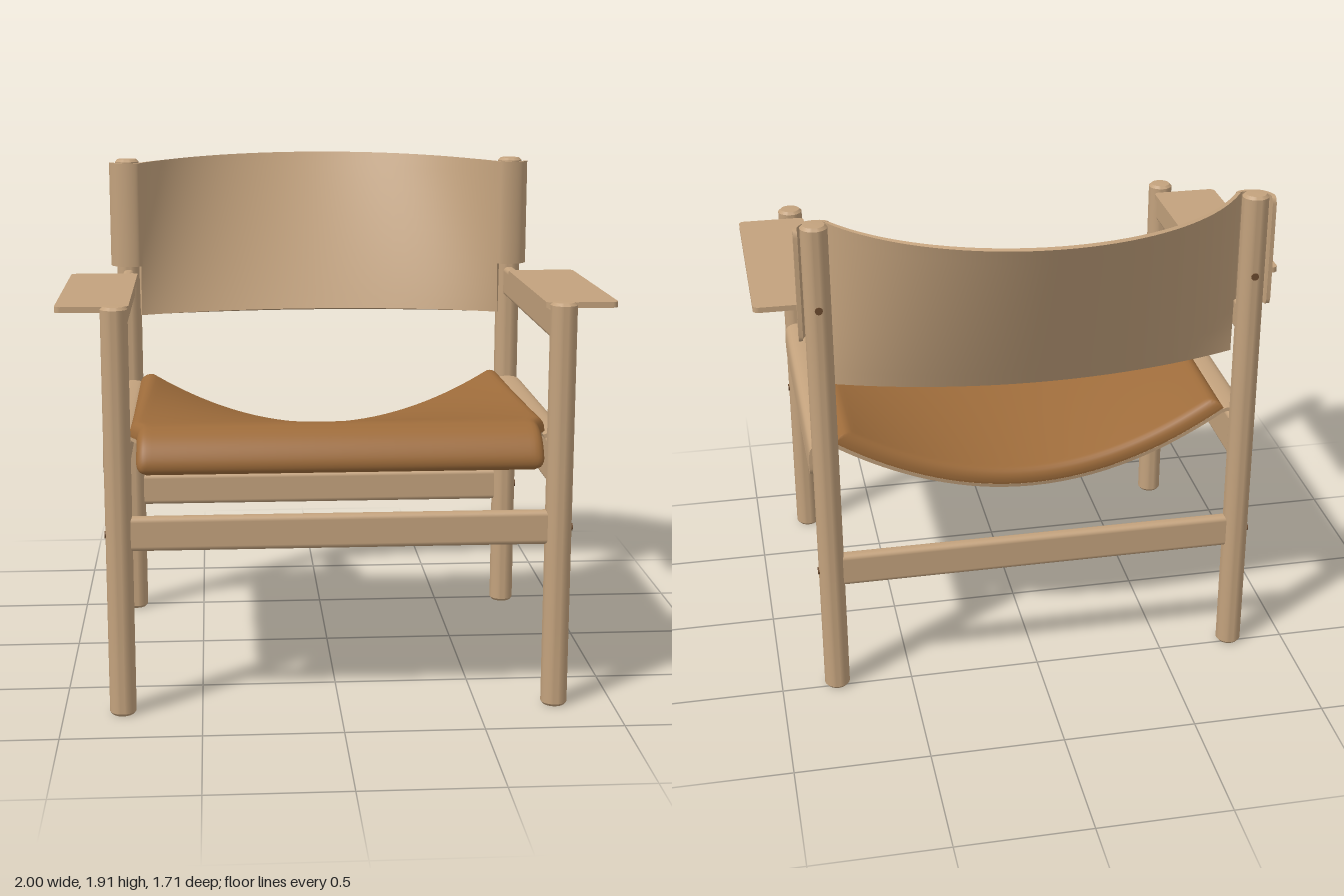
import * as THREE from 'three';
import { toCreasedNormals } from 'three/addons/utils/BufferGeometryUtils.js';
import { RoundedBoxGeometry } from 'three/addons/geometries/RoundedBoxGeometry.js';

const LEG_X = 0.787, FRONT_Z = 0.76, BACK_Z = -0.48, LEG_R = 0.048;

// Solid sheet: surface f(u, v) thickened along its normal from lo to hi(u, v)
function sheet(f, nu, nv, lo, hi) {
  const pos = [], idx = [], e = 1e-3;
  const point = (i, j, top) => {
    const u = i / nu, v = j / nv;
    const du = f(Math.min(u + e, 1), v).sub(f(Math.max(u - e, 0), v));
    const dv = f(u, Math.min(v + e, 1)).sub(f(u, Math.max(v - e, 0)));
    const n = du.cross(dv).normalize();
    return f(u, v).addScaledVector(n, top ? hi(u, v) : lo);
  };
  const add = (p) => { pos.push(p.x, p.y, p.z); return pos.length / 3 - 1; };
  for (const top of [true, false]) {
    const base = pos.length / 3;
    for (let j = 0; j <= nv; j++) for (let i = 0; i <= nu; i++) add(point(i, j, top));
    for (let j = 0; j < nv; j++) for (let i = 0; i < nu; i++) {
      const a = base + j * (nu + 1) + i, b = a + 1, d = a + nu + 1, c = d + 1;
      if (top) idx.push(a, b, c, a, c, d);
      else idx.push(a, c, b, a, d, c);
    }
  }
  // rim, with its own vertices so the edge stays sharp
  const ring = [];
  for (let i = 0; i < nu; i++) ring.push([i, 0]);
  for (let j = 0; j < nv; j++) ring.push([nu, j]);
  for (let i = nu; i > 0; i--) ring.push([i, nv]);
  for (let j = nv; j > 0; j--) ring.push([0, j]);
  const rim = pos.length / 3;
  for (const [i, j] of ring) { add(point(i, j, false)); add(point(i, j, true)); }
  for (let k = 0; k < ring.length; k++) {
    const p = rim + 2 * k, q = rim + 2 * ((k + 1) % ring.length);
    idx.push(p, q, q + 1, p, q + 1, p + 1);
  }
  const g = new THREE.BufferGeometry();
  g.setAttribute('position', new THREE.Float32BufferAttribute(pos, 3));
  g.setIndex(idx);
  g.computeVertexNormals();
  return g;
}

// Inset of a rounded corner of radius r at distance d from the end
const corner = (d, r) => (d >= r ? 0 : r - Math.sqrt(Math.max(0, r * r - (r - d) ** 2)));
// Circular arc of half width h and depth s
const arc = (x, h, s) => {
  const R = (h * h + s * s) / (2 * s);
  return Math.sqrt(R * R - x * x) - (R - s);
};

// Seat path: v = 0 at the rolled front lip, v = 1 at the sagging back edge
const LIP = 0.35, ROLL = 0.1, MAX_A = 1.48;
function seatPath(v) {
  if (v < LIP) {
    const a = MAX_A * (1 - v / LIP);
    return { z: 0.72 + ROLL * Math.sin(a), y: 0.993 - ROLL * (1 - Math.cos(a)),
      front: ROLL * (MAX_A - a), back: 1.2 };
  }
  const back = 1.11 * (1 - Math.sin(((v - LIP) / (1 - LIP)) * Math.PI / 2));
  return { z: -0.39 + back, y: 0.993, front: 1.26 - back, back };
}
const seatWidth = (p, w) => w - 0.03 * THREE.MathUtils.smoothstep(p.z, 0.67, 0.71) - corner(p.front, 0.035);
const seatPoint = (w) => (u, v) => {
  const p = seatPath(v);
  const x = Math.sin((u - 0.5) * Math.PI) * seatWidth(p, w);
  const sag = 0.245 * Math.max(0, (0.7 - p.z) / 1.09);
  return new THREE.Vector3(x, p.y - sag * (1 - (x / 0.745) ** 2), p.z);
};
function cushionTop(u, v) {
  const p = seatPath(v);
  const side = (1 - Math.abs(Math.sin((u - 0.5) * Math.PI))) * 0.74;
  const d = Math.min(side, p.front, p.back);
  const t = v < LIP ? 0.034 + 0.021 * (v / LIP) : 0.055;
  return 0.02 + t - 0.012 - corner(d, 0.035) * (t - 0.008) / 0.035;
}

function createModel() {
  const wood = new THREE.MeshStandardMaterial({ color: 0xc3a27d });
  wood.name = 'wood';
  const leather = new THREE.MeshStandardMaterial({ color: 0x9e6c3b });
  leather.name = 'leather';
  const dark = new THREE.MeshStandardMaterial({ color: 0x6b4a2e });
  dark.name = 'plug';
  const model = new THREE.Group();
  model.name = 'armchair';
  const add = (name, geo, mat, x = 0, y = 0, z = 0) => {
    const m = new THREE.Mesh(geo, mat);
    m.name = name;
    m.position.set(x, y, z);
    model.add(m);
    return m;
  };
  const bar = (name, w, h, d, x, y, z) =>
    add(name, new RoundedBoxGeometry(w, h, d, 3, Math.min(w, h, d) * 0.4), wood, x, y, z);

  // Round posts with a small bevel at both ends
  const leg = (h) => toCreasedNormals(new THREE.LatheGeometry([
    [0, 0], [LEG_R - 0.008, 0], [LEG_R, 0.01], [LEG_R, h - 0.012], [LEG_R - 0.01, h - 0.002], [0, h],
  ].map(([r, y]) => new THREE.Vector2(r, y)), 32), 0.5);

  // Armrest board, rounded in plan
  const plan = new THREE.Shape();
  const W = 0.13, D = 0.432, r = 0.022;
  plan.absarc(W - r, D - r, r, 0, Math.PI / 2);
  plan.absarc(-W + r, D - r, r, Math.PI / 2, Math.PI);
  plan.absarc(-W + r, -D + r, r, Math.PI, Math.PI * 1.5);
  plan.absarc(W - r, -D + r, r, Math.PI * 1.5, Math.PI * 2);
  const board = new THREE.ExtrudeGeometry(plan, { depth: 0.021, bevelEnabled: false, curveSegments: 6 });
  board.rotateX(-Math.PI / 2);

  // Cross-sections of the shell edges that hook over the rails and posts
  const curve = (pts) => new THREE.CatmullRomCurve3(pts.map(([a, b]) => new THREE.Vector3(a, b, 0)), false, 'centripetal');
  const seatHook = curve([[0.74, 0.988], [0.757, 0.993], [0.805, 0.992], [0.826, 0.981], [0.833, 0.958], [0.833, 0.87]]);
  const backHook = curve([[0.735, -0.43], [0.75, -0.417], [0.787, -0.413], [0.827, -0.428], [0.85, -0.465], [0.852, -0.502]]);
  const thick = () => 0.0075;

  for (const s of [1, -1]) {
    const side = s > 0 ? 'left' : 'right';
    add(side + 'FrontLeg', leg(1.49), wood, s * LEG_X, 0, FRONT_Z);
    add(side + 'BackLeg', leg(1.905), wood, s * LEG_X, 0, BACK_Z);
    bar(side + 'ArmRail', 0.046, 0.12, 1.19, s * LEG_X, 1.394, 0.14);
    bar(side + 'SeatRail', 0.046, 0.17, 1.19, s * LEG_X, 0.886, 0.14);
    add(side + 'ArmBoard', board, wood, s * 0.87, 1.454, 0.253);

    add(side + 'SeatHook', sheet((u, v) => {
      const k = s > 0 ? u : 1 - u, p = seatHook.getPoint(k);
      const half = 0.54 - corner(Math.max(0, p.y - 0.87) + (k < 0.5 ? 1 : 0), 0.025);
      return new THREE.Vector3(s * p.x, p.y, 0.15 + half * (1 - 2 * v));
    }, 30, 4, -0.0075, thick), wood);

    add(side + 'BackHook', sheet((u, v) => {
      const k = s > 0 ? u : 1 - u, p = backHook.getPoint(k);
      const half = 0.21 - corner(Math.max(0, p.y + 0.502) + (k < 0.5 ? 1 : 0), 0.025);
      return new THREE.Vector3(s * p.x, 1.68 + half * (2 * v - 1), p.y);
    }, 30, 4, -0.0075, thick), wood);

    // Plugs covering the fixings
    const plug = new THREE.CylinderGeometry(0.014, 0.014, 0.008, 12);
    for (const [y, z] of [[0.67, FRONT_Z], [0.515, BACK_Z]])
      add(side + 'Plug', plug, dark, s * (LEG_X + LEG_R - 0.001), y, z).rotation.z = Math.PI / 2;
    add(side + 'BackPlug', plug, dark, s * LEG_X, 1.6, BACK_Z - LEG_R + 0.001).rotation.x = Math.PI / 2;
  }

  // Cross rails
  bar('frontRail', 1.54, 0.125, 0.046, 0, 0.672, FRONT_Z);
  bar('backRail', 1.54, 0.13, 0.046, 0, 0.515, BACK_Z);

  // Curved backrest, deeper at the top than at the bottom
  add('backrest', sheet((u, v) => {
    const x = Math.sin((u - 0.5) * Math.PI) * 0.739;
    const bow = (1 - v) * arc(x, 0.74, 0.12) + v * arc(x, 0.74, 0.416);
    const y = 1.268 + v * (0.622 + 0.012 * (1 - (x / 0.74) ** 2));
    return new THREE.Vector3(x, y, -0.427 - bow);
  }, 48, 12, -0.0075, thick), wood);

  // Seat shell and the leather pad lying on it
  add('seatShell', sheet(seatPoint(0.745), 40, 48, -0.0075, thick), wood);
  add('seatCushion', sheet(seatPoint(0.748), 48, 56, 0.008, cushionTop), leather);

  return model;
}

export { createModel };
